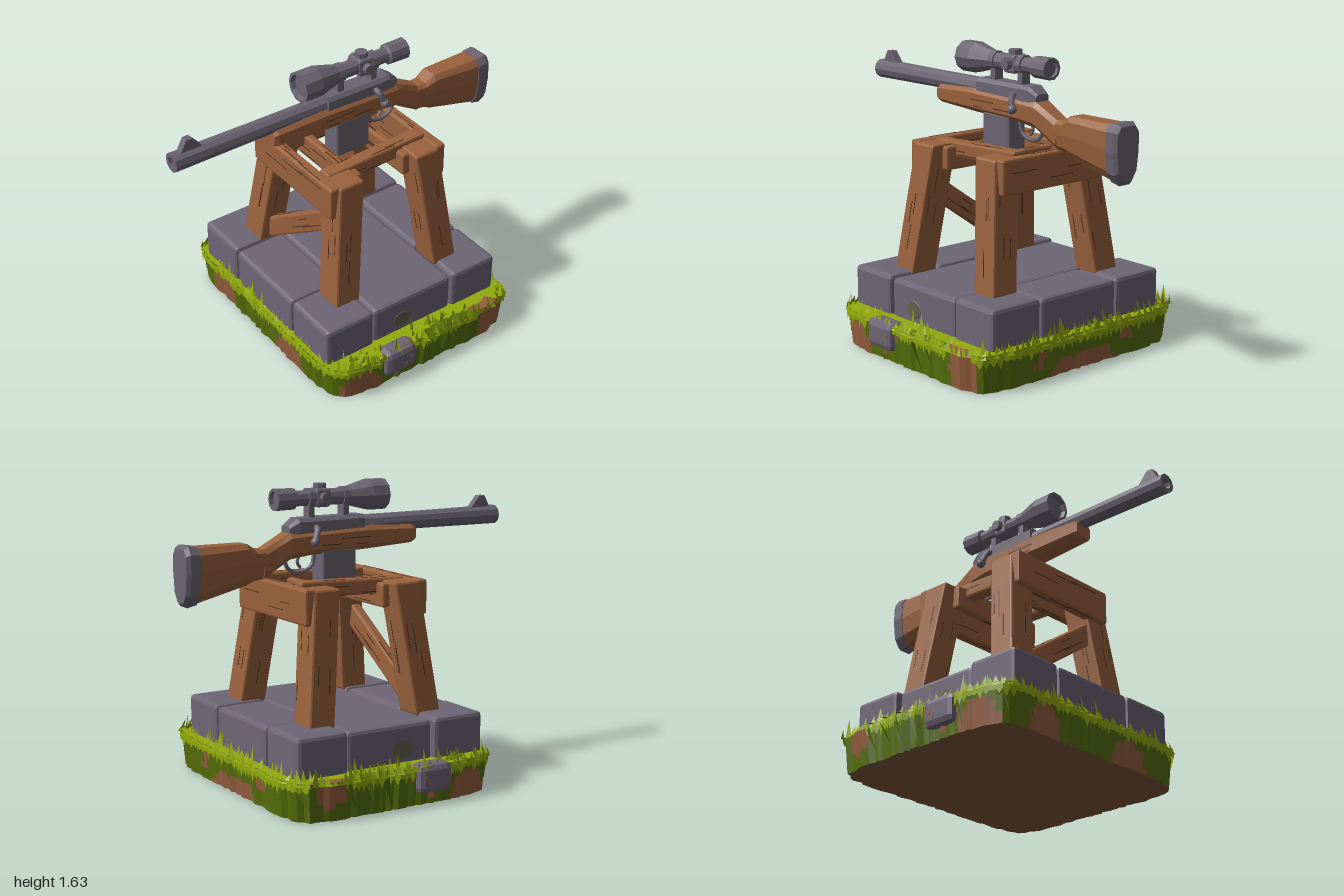
import * as THREE from 'three';
import { mergeGeometries } from 'three/addons/utils/BufferGeometryUtils.js';
import { RoundedBoxGeometry } from 'three/addons/geometries/RoundedBoxGeometry.js';

const mat = (name, color, side = THREE.FrontSide) => {
  const m = new THREE.MeshStandardMaterial({ color, side });
  m.name = name;
  return m;
};

export function createModel() {
  const model = new THREE.Group();
  model.name = 'rifleOnStand';
  const wood = mat('wood', 0x9a623d), grain = mat('woodGrain', 0x54331f);
  const metal = mat('gunMetal', 0x6b6572), stone = mat('stone', 0x6e6676);
  const grass = mat('lightGrass', 0x92ab0b, THREE.DoubleSide);
  const moss = mat('darkGrass', 0x566f0b, THREE.DoubleSide);
  const soil = mat('soil', 0x955f3f), under = mat('underside', 0x83583f);
  const stain = mat('mossStain', 0x62634c);

  let seed = 7;
  const rnd = (a = 0, b = 1) => {
    seed = (seed * 16807) % 2147483647;
    return a + (b - a) * seed / 2147483647;
  };
  const add = (name, geo, material, parent = model) => {
    const m = new THREE.Mesh(geo, material);
    m.name = name;
    parent.add(m);
    return m;
  };
  const flat = g => {
    const f = g.index ? g.toNonIndexed() : g;
    f.computeVertexNormals();
    return f;
  };
  const V = (x, y, z) => new THREE.Vector3(x, y, z);
  const fromTris = pts => {
    const g = new THREE.BufferGeometry().setFromPoints(pts);
    g.computeVertexNormals();
    return g;
  };
  const block = (w, h, d, r = 0.015) => new RoundedBoxGeometry(w, h, d, 1, r);
  const box = (name, w, h, d, x, y, z, material, r = 0.01) =>
    add(name, flat(block(w, h, d, r).translate(x, y, z)), material);

  // ---------- Earth mound with grassy rim ----------
  const N = 160, CX = 0.105, rows = [0, 0.03, 0.06, 0.09, 0.12, 0.15, 0.18, 0.205];
  const wob = Array.from({ length: N }, () => rnd(-0.008, 0.012));
  const rim = (i, y, out = 0) => {
    i = (i + N) % N;
    const t = i / N * Math.PI * 2, c = Math.cos(t), s = Math.sin(t);
    const k = 1 / Math.pow(Math.abs(c) ** 9 + Math.abs(s) ** 9, 1 / 9);
    const e = wob[i] + out + y * 0.08;
    return V(CX + (0.592 + e) * c * k, y, (0.702 + e) * s * k);
  };
  // bare earth patches: x, y, z, radius
  const bare = [[-0.33, 0.03, 0.71, 0.13], [0.555, 0.02, 0.71, 0.1], [0.555, 0.1, 0.71, 0.1],
    [0.555, 0.17, 0.71, 0.09], [-0.33, 0.04, -0.71, 0.12], [0.53, 0.16, -0.71, 0.09],
    [-0.09, 0.16, 0.71, 0.12], [-0.09, 0.16, -0.71, 0.12],
    [0.7, 0, 0.13, 0.09], [0.7, 0, 0, 0.1], [0.7, 0, -0.12, 0.1], [0.7, 0.13, -0.32, 0.05],
    [0.7, 0.14, 0.31, 0.04], [0.7, 0.08, 0.32, 0.035], [-0.5, 0.02, 0.25, 0.13], [-0.5, 0.05, -0.4, 0.12]];
  const isBare = p => bare.some(([x, y, z, r]) => p.distanceTo(V(x, y, z)) < r);
  const isLeafy = p => Math.abs(p.z) > 0.6 && p.x > 0.12 && p.x < 0.44;
  const tris = { moss: [], soil: [], grass: [] }, bottom = [], blades = [], leaves = [];
  const quad = (list, a, b, c, d) => list.push(a, b, c, a, c, d);
  for (let i = 0; i < N; i++) {
    for (let r = 0; r < rows.length - 1; r++) {
      const a = rim(i + 1, rows[r]), b = rim(i, rows[r]), c = rim(i, rows[r + 1]), d = rim(i + 1, rows[r + 1]);
      quad(tris[isBare(a.clone().add(c).multiplyScalar(0.5)) ? 'soil' : 'moss'], a, b, c, d);
    }
    bottom.push(V(CX, 0, 0), rim(i, 0), rim(i + 1, 0));
    // top rim, then the lawn that runs under the slabs
    const edge = rim(i, 0.19), kind = isBare(edge) ? 'soil' : isLeafy(edge) ? 'moss' : 'grass';
    quad(tris[kind], rim(i, 0.205, -0.055), rim(i + 1, 0.205, -0.055), rim(i + 1, 0.205), rim(i, 0.205));
    tris.grass.push(V(CX, 0.205, 0), rim(i + 1, 0.205, -0.055), rim(i, 0.205, -0.055));
    if (kind !== 'soil') {
      // light fringe hanging over the edge
      const a = rim(i + 1, 0.207, 0.008), b = rim(i, 0.207, 0.008);
      const c = rim(i, 0.17, 0.01), d = rim(i + 1, 0.17, 0.01);
      quad(tris.grass, a, d, c, b);
      tris.grass.push(d, c.clone().lerp(d, 0.5).setY(rnd(0.125, 0.165)), c);
    }
    // upright blades along the rim
    for (let j = 0; j < (kind === 'soil' ? 1 : 3); j++) {
      const p = rim(i, 0.19, j ? rnd(-0.08, 0.01) : 0.012);
      const q = rim(i + 1, 0.19).sub(rim(i, 0.19)).setLength(rnd(0.012, 0.024));
      const away = V(p.x - CX, 0, p.z).normalize().multiplyScalar(rnd(-0.03, -0.003));
      const tip = p.clone().add(away).addScaledVector(q, rnd(-1, 1));
      tip.y = rnd() > 0.88 ? rnd(0.27, 0.31) : rnd(0.22, 0.262);
      blades.push(p.clone().add(q), p.clone().sub(q), tip);
    }
    // broad dark leaves leaning on the side
    if (i % 4 === 0 && !isBare(rim(i, 0.08)) && !isBare(edge)) {
      const flare = isLeafy(edge) ? rnd(0.025, 0.05) : 0.004;
      leaves.push(rim(i - 1, rnd(0.02, 0.06), 0.002), rim(i, rnd(0.17, 0.2), flare), rim(i + 1, 0.165, 0.004));
      if (isLeafy(edge)) leaves.push(rim(i - 1, 0.212, -0.04), rim(i + 1, 0.212, -0.04), rim(i, 0.21, flare));
    }
  }
  add('moundSides', fromTris(tris.moss), moss);
  add('barePatches', fromTris(tris.soil), soil);
  add('moundUnderside', fromTris(bottom), under);
  add('grassTop', fromTris(tris.grass), grass);
  add('grassBlades', fromTris(blades), grass);
  add('sideLeaves', fromTris(leaves), moss);

  // ---------- Stone slabs ----------
  const slab = (x0, x1, z0, z1, y) => box('slab', x1 - x0 - 0.006, y - 0.08, z1 - z0 - 0.006,
    (x0 + x1) / 2, (y + 0.08) / 2, (z0 + z1) / 2, stone, 0.022);
  for (const [x0, x1] of [[-0.485, -0.17], [0.36, 0.665]]) {
    slab(x0, x1, -0.61, -0.28, 0.42);
    slab(x0, x1, -0.28, 0.265, 0.415);
    slab(x0, x1, 0.265, 0.6, 0.42);
  }
  slab(-0.17, 0.36, -0.59, 0.59, 0.41);
  for (const s of [-1, 1]) {
    box('edgeStone', 0.21, 0.16, 0.11, -0.09, 0.14, s * 0.692, stone, 0.035);
    // soil specks on the edge stone and a damp mossy stain on the slab behind it
    for (const [x, y, r] of [[-0.03, 0.145, 0.014], [-0.055, 0.11, 0.009]]) {
      add('soilSpeck', new THREE.CylinderGeometry(r, r, 0.004, 6).rotateX(Math.PI / 2).translate(x, y, s * 0.748), soil);
    }
    add('mossStain', new THREE.CylinderGeometry(0.045, 0.05, 0.004, 9).rotateX(Math.PI / 2)
      .scale(1.2, 1, 1).translate(0.02, 0.275, s * 0.588), stain);
  }

  // ---------- Timber stand ----------
  // A sheared post: horizontal cuts at both ends, with thin grain strips on its faces
  const timber = (name, w, d, a, b, matrix) => {
    const g = new THREE.Group(), h = b.y - a.y;
    g.name = name;
    const m = matrix || new THREE.Matrix4().set(
      1, (b.x - a.x) / h, 0, (a.x + b.x) / 2, 0, 1, 0, (a.y + b.y) / 2,
      0, (b.z - a.z) / h, 1, (a.z + b.z) / 2, 0, 0, 0, 1);
    const L = matrix ? a.distanceTo(b) : h;
    add('beam', flat(block(w, L, d, 0.012).applyMatrix4(m)), wood, g);
    const strips = [];
    for (let i = 0; i < 3; i++) {
      const y = rnd(-0.3, 0.3) * L, l = L * rnd(0.12, 0.28);
      strips.push(new THREE.BoxGeometry(w + 0.003, l, 0.005).translate(0, y, rnd(-0.35, 0.35) * d));
      strips.push(new THREE.BoxGeometry(0.005, l, d + 0.003).translate(rnd(-0.35, 0.35) * w, -y, 0));
    }
    add('grain', flat(mergeGeometries(strips).applyMatrix4(m)), grain, g);
    model.add(g);
  };
  // A straight beam: turned so its length runs from a to b
  const beam = (name, w, d, a, b) => {
    const q = new THREE.Quaternion().setFromUnitVectors(V(0, 1, 0), b.clone().sub(a).normalize());
    timber(name, w, d, a, b, new THREE.Matrix4().compose(a.clone().lerp(b, 0.5), q, V(1, 1, 1)));
  };
  const MX = 0.092;
  for (const s of [-1, 1]) {
    for (const t of [-1, 1]) {
      timber('leg', 0.155, 0.165, V(MX + s * 0.333, 0.4, t * 0.37), V(MX + s * 0.247, 1.115, t * 0.285));
    }
    beam('outerBeam', 0.065, 0.19, V(MX + s * 0.345, 1.025, -0.365), V(MX + s * 0.345, 1.025, 0.355));
    beam('innerBeam', 0.05, 0.13, V(MX + s * 0.16, 1.04, -0.3), V(MX + s * 0.16, 1.04, 0.3));
    beam('crossBoard', 0.085, 0.08, V(-0.22, 1.08, s * 0.2), V(0.42, 1.1, s * 0.2));
  }
  beam('diagonalBrace', 0.06, 0.115, V(-0.21, 0.865, 0.27), V(-0.23, 0.46, -0.32));

  // ---------- Rifle ----------
  // Loft of sections along x with a given outline: [x, top, bottom, half width]
  const loft = (sections, outline) => {
    const n = outline.length, pts = [];
    const rings = sections.map(([x, t, b, w]) =>
      outline.map(([z, y]) => V(x, (t + b) / 2 + y * (t - b) / 2, z * w)));
    for (let r = 0; r < rings.length - 1; r++) for (let i = 0; i < n; i++) {
      const j = (i + 1) % n, A = rings[r], B = rings[r + 1];
      quad(pts, A[i], B[i], B[j], A[j]);
    }
    const S = rings[0], E = rings[rings.length - 1];
    for (let i = 1; i < n - 1; i++) pts.push(S[0], S[i], S[i + 1], E[0], E[i + 1], E[i]);
    return fromTris(pts);
  };
  const boxy = [[1, 0.6], [0.7, 1], [-0.7, 1], [-1, 0.6], [-1, -0.6], [-0.6, -1], [0.6, -1], [1, -0.6]];
  // butt outline: full at the top, narrowing to a rounded toe
  const toed = [[0.97, 0.75], [0.65, 1], [-0.65, 1], [-0.97, 0.75], [-1, 0.1], [-0.82, -0.65],
    [-0.4, -1], [0.4, -1], [0.82, -0.65], [1, 0.1]];
  add('foreStock', loft([[-0.425, 1.365, 1.285, 0.055], [-0.4, 1.375, 1.275, 0.066], [-0.1, 1.39, 1.26, 0.074],
    [0.25, 1.38, 1.25, 0.074], [0.37, 1.375, 1.235, 0.066], [0.45, 1.335, 1.185, 0.054],
    [0.53, 1.295, 1.14, 0.05]], boxy), wood);
  add('buttStock', loft([[0.52, 1.298, 1.14, 0.051], [0.575, 1.3, 1.135, 0.057], [0.63, 1.335, 1.115, 0.068],
    [0.93, 1.335, 1.045, 0.082]], toed), wood);
  add('buttPlate', loft([[0.92, 1.34, 1.04, 0.087], [0.975, 1.345, 1.028, 0.089], [0.997, 1.33, 1.05, 0.076]], toed), metal);
  const stockGrain = [[-0.02, 1.33, 0.18], [0.13, 1.3, 0.12], [-0.06, 1.295, 0.07]].map(([x, y, l]) =>
    new THREE.BoxGeometry(l, 0.005, 0.152).translate(x, y, 0));
  add('stockGrain', mergeGeometries(stockGrain), grain);

  // Turned parts along x: profile of [radius, x]
  const turned = (name, profile, segs, y) => add(name, flat(new THREE.LatheGeometry(
    profile.map(([r, x]) => new THREE.Vector2(r, x)), segs).rotateZ(-Math.PI / 2).translate(0, y, 0)), metal);
  turned('barrel', [[0, -0.94], [0.03, -0.94], [0.03, -1], [0.054, -1], [0.05, -0.5], [0.05, 0]], 10, 1.393);
  const sight = new THREE.Shape([[-0.96, 1.43], [-0.82, 1.43], [-0.885, 1.505], [-0.92, 1.505]].map(p => new THREE.Vector2(...p)));
  add('frontSight', new THREE.ExtrudeGeometry(sight, { depth: 0.04, bevelEnabled: false }).translate(0, 0, -0.02), metal);
  add('receiver', loft([[-0.085, 1.45, 1.35, 0.06], [0.32, 1.448, 1.35, 0.06], [0.375, 1.41, 1.35, 0.045]], boxy), metal);
  box('magazineMount', 0.21, 0.21, 0.12, 0.075, 1.17, 0, metal);

  // Bolt handles on both sides
  for (const s of [-1, 1]) {
    const path = new THREE.CatmullRomCurve3([V(0.22, 1.4, s * 0.04), V(0.225, 1.39, s * 0.08), V(0.25, 1.33, s * 0.1)]);
    add('boltHandle', new THREE.TubeGeometry(path, 6, 0.018, 6), metal);
    add('boltKnob', flat(new THREE.IcosahedronGeometry(0.026, 1).translate(0.253, 1.325, s * 0.103)), metal);
  }

  // Trigger and guard
  const guard = new THREE.CatmullRomCurve3([V(0.2, 1.25, 0), V(0.215, 1.19, 0), V(0.26, 1.16, 0),
    V(0.33, 1.16, 0), V(0.37, 1.19, 0), V(0.385, 1.245, 0)]);
  add('triggerGuard', new THREE.TubeGeometry(guard, 14, 0.011, 6), metal);
  const pull = new THREE.CatmullRomCurve3([V(0.29, 1.25, 0), V(0.305, 1.21, 0), V(0.285, 1.18, 0)]);
  add('trigger', new THREE.TubeGeometry(pull, 6, 0.009, 5), metal);

  // ---------- Scope ----------
  const SY = 1.55;
  turned('scope', [[0, -0.21], [0.065, -0.21], [0.07, -0.235], [0.086, -0.235], [0.086, -0.13], [0.046, 0.02],
    [0.042, 0.32], [0.058, 0.33], [0.06, 0.445], [0.045, 0.445], [0.045, 0.425], [0, 0.425]], 10, SY);
  box('turretBody', 0.09, 0.1, 0.1, 0.165, SY, 0, metal, 0.015);
  add('topTurret', flat(new THREE.CylinderGeometry(0.036, 0.036, 0.045, 8).translate(0.165, 1.603, 0)), metal);
  for (const s of [-1, 1]) {
    add('sideTurret', flat(new THREE.CylinderGeometry(0.03, 0.03, 0.04, 8).rotateX(Math.PI / 2).translate(0.165, SY, s * 0.06)), metal);
  }
  for (const x of [0.015, 0.23]) {
    box('scopeMount', 0.04, 0.1, 0.06, x, 1.475, 0, metal, 0.006);
    turned('scopeRing', [[0.04, x - 0.02], [0.053, x - 0.02], [0.053, x + 0.02], [0.04, x + 0.02]], 10, SY);
  }
  return model;
}
